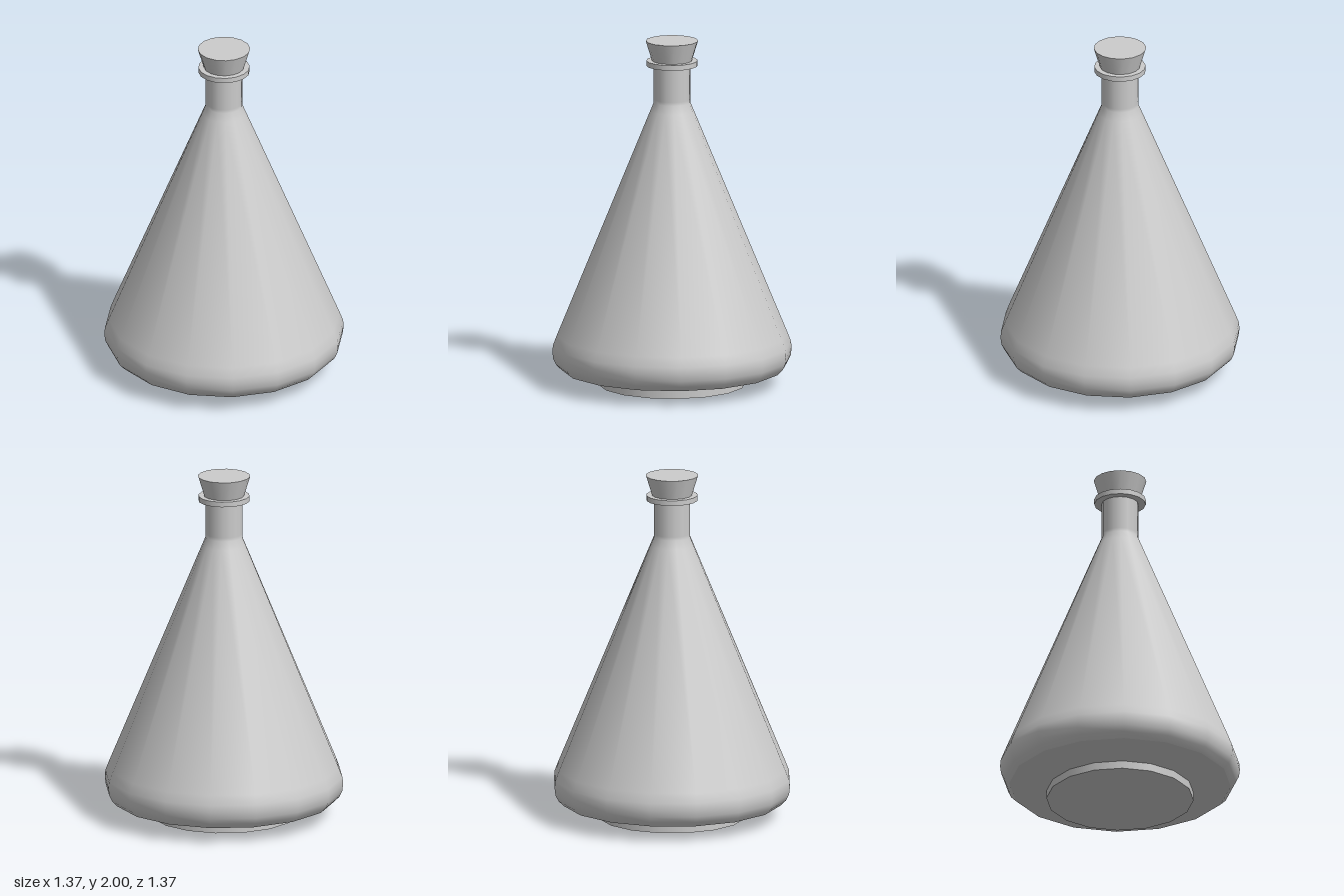
import * as THREE from 'three';

const SIDES = 16;

export function createModel() {
  const group = new THREE.Group();
  const material = new THREE.MeshStandardMaterial({ color: 0xcccccc });

  // Revolves a profile of [radius, height] points, listed from bottom to top
  function turned(name, profile) {
    const points = profile.map(([r, y]) => new THREE.Vector2(r, y));
    const mesh = new THREE.Mesh(new THREE.LatheGeometry(points, SIDES), material);
    mesh.name = name;
    group.add(mesh);
  }

  // Straight or tapered closed disc
  function disc(name, bottomRadius, topRadius, y0, y1) {
    const geometry = new THREE.CylinderGeometry(topRadius, bottomRadius, y1 - y0, SIDES);
    const mesh = new THREE.Mesh(geometry, material);
    mesh.name = name;
    mesh.position.y = (y0 + y1) / 2;
    group.add(mesh);
  }

  // Foot and the sloping underside above it
  disc('foot', 0.42, 0.42, 0, 0.047);
  turned('underside', [[0.415, 0.045], [0.632, 0.09]]);

  // Rounded lower edge, conical wall and straight neck
  turned('flaskBody', [
    [0.632, 0.09], [0.662, 0.12], [0.679, 0.155], [0.684, 0.195], [0.681, 0.235],
    [0.66, 0.29], [0.125, 1.592], [0.105, 1.64], [0.105, 1.66], [0.105, 1.86],
  ]);

  // Lip around the mouth and the tapered stopper
  disc('lip', 0.147, 0.147, 1.855, 1.885);
  disc('stopper', 0.11, 0.15, 1.87, 2);

  return group;
}
